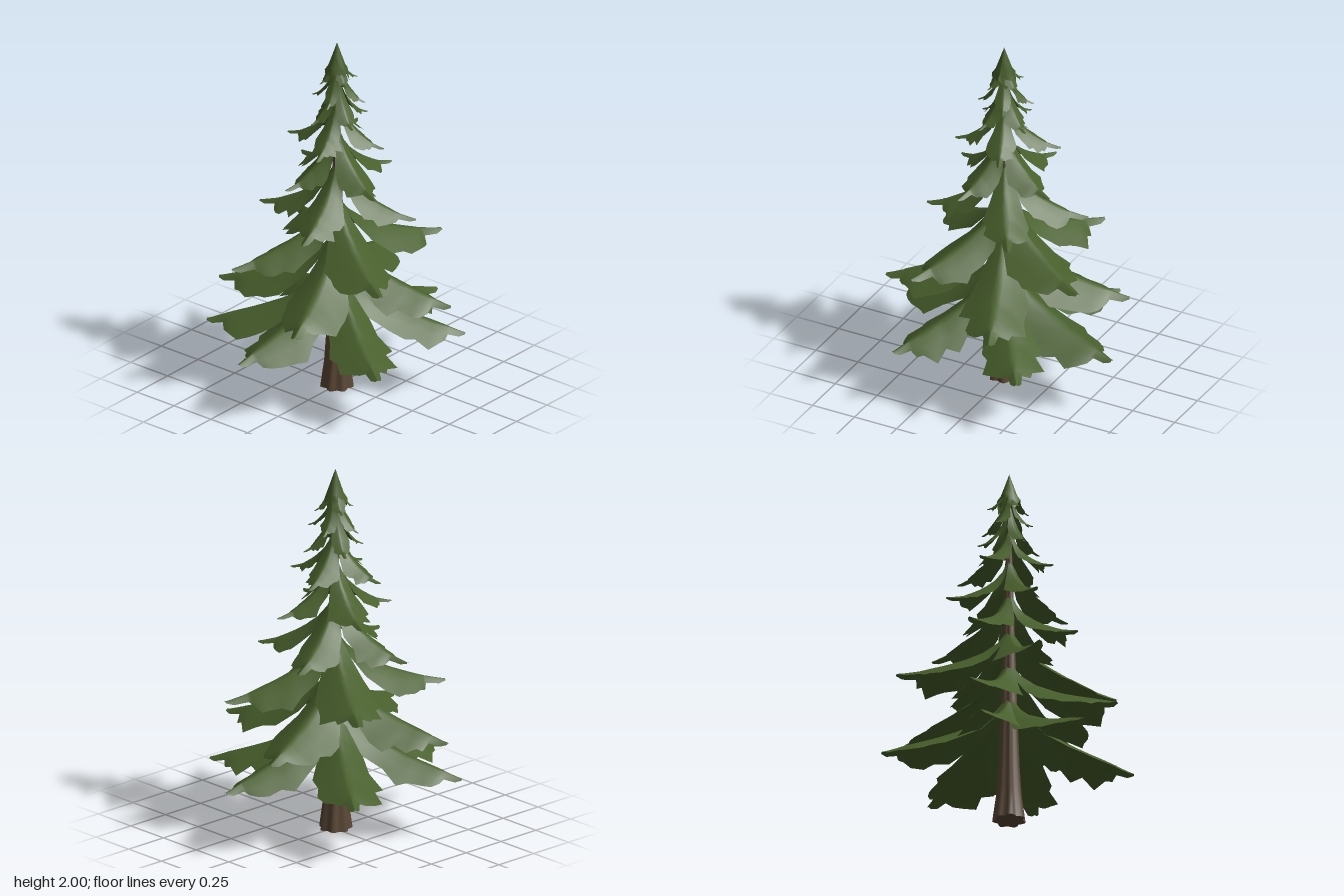
import * as THREE from 'three';

const CX = -0.015; // trunk axis

// Fan of a blade: [distance along the fan, height, half width, edge droop]
const FAN = [
  [0.00, 1.00, 0.03, 0.9], [0.11, 0.77, 0.10, 0.85], [0.28, 0.56, 0.18, 0.85],
  [0.49, 0.39, 0.24, 0.75], [0.64, 0.29, 0.27, 0.68], [0.73, 0.24, 0.23, 0.7],
  [0.86, 0.17, 0.23, 0.68], [0.94, 0.13, 0.17, 0.7], [1.00, 0.10, 0.12, 0.8],
];
// Finger at the tip: [distance along the finger, height, half width, edge droop]
const FINGER = [[0.12, 0.085, 0.06, 0.9], [0.7, 0.025, 0.045, 0.9], [1, 0, 0.02, 0.6]];

// Tiers: tip height, root height, width factor, finger start, tips as [x, z]
const TIERS = [
  [0.34, 0.71, 0.95, 0.85, [[0.68, 0.10], [0.36, 0.56], [-0.37, 0.57], [-0.69, -0.11], [-0.37, -0.59], [0.37, -0.56]]],
  [0.56, 0.90, 1.05, 0.83, [[0.63, -0.19], [0.21, 0.59], [-0.61, 0.20], [-0.28, -0.58]]],
  [0.78, 1.09, 1.08, 0.78, [[0.55, 0.24], [-0.29, 0.52], [-0.53, -0.29], [0.30, -0.52]]],
  [1.00, 1.30, 1.08, 0.75, [[0.40, -0.16], [0.20, 0.36], [-0.42, 0.10], [-0.14, -0.42]]],
  [1.22, 1.49, 1.08, 0.72, [[0.31, 0.10], [-0.11, 0.34], [-0.32, -0.10], [0.11, -0.34]]],
  [1.42, 1.66, 1.08, 0.72, [[0.27, -0.10], [0.08, 0.24], [-0.27, 0.07], [-0.08, -0.28]]],
  [1.56, 1.80, 1.1, 0.72, [[0.15, 0.07], [-0.08, 0.16], [-0.17, -0.05], [0.06, -0.16]]],
  [1.67, 1.88, 1.1, 0.72, [[0.13, -0.06], [0.05, 0.14], [-0.15, 0.04], [-0.05, -0.14]]],
  [1.78, 1.95, 1.1, 0.72, [[0.09, 0.05], [-0.06, 0.10], [-0.11, -0.04], [0.04, -0.11]]],
];

// Small seeded random generator
function seeded(seed) {
  let s = seed;
  return () => (s = (s * 16807) % 2147483647) / 2147483647;
}

// A drooping blade with a raised ridge, ragged edges and a finger-like tip
function bladeGeometry(length, height, widthFactor, fingerStart, rand) {
  const across = [-1, -0.55, -0.16, 0, 0.16, 0.55, 1];
  const n = across.length;
  const stations = [
    ...FAN.map(([u, ...rest]) => [u * fingerStart, ...rest]),
    ...FINGER.map(([u, ...rest]) => [fingerStart + u * (1 - fingerStart), ...rest]),
  ];
  const pos = [], index = [];
  stations.forEach(([t, h, w, d], i) => {
    const ragged = i > 2 && i < FAN.length ? 0.35 : 0;
    const sides = [0, 1].map(() => 1 + (rand() - 0.5) * ragged);
    across.forEach((a) => {
      const half = w * length * widthFactor * sides[a < 0 ? 0 : 1];
      const drop = d * half * (Math.sqrt(a * a + 0.02) - 0.14);
      pos.push(0.012 + t * (length - 0.012), h * height - drop, a * half);
    });
    if (i === 0) return;
    for (let k = 0; k < n - 1; k++) {
      const p = (i - 1) * n + k, q = i * n + k;
      index.push(p, p + 1, q, p + 1, q + 1, q);
    }
  });
  const g = new THREE.BufferGeometry();
  g.setAttribute('position', new THREE.Float32BufferAttribute(pos, 3));
  g.setIndex(index);
  g.computeVertexNormals();
  return g;
}

// Ribbed, flared trunk tapering towards the crown
function trunkGeometry() {
  const g = new THREE.CylinderGeometry(1, 1, 1.88, 28, 12);
  g.translate(0, 0.94, 0);
  const p = g.attributes.position;
  for (let i = 0; i < p.count; i++) {
    const y = p.getY(i);
    const angle = Math.atan2(p.getZ(i), p.getX(i));
    const r = 0.054 * (1 - y / 1.9) + 0.004 + 0.022 * Math.exp(-y * 7);
    const rib = 1 + 0.13 * Math.sin(angle * 7);
    p.setX(i, p.getX(i) * r * rib);
    p.setZ(i, p.getZ(i) * r * rib);
  }
  g.computeVertexNormals();
  return g;
}

export function createModel() {
  const needles = new THREE.MeshStandardMaterial({ color: 0x485f2c, side: THREE.DoubleSide });
  needles.name = 'needle green';
  const bark = new THREE.MeshStandardMaterial({ color: 0x5b4836 });
  bark.name = 'bark brown';

  const tree = new THREE.Group();
  tree.name = 'firTree';
  const rand = seeded(4217);

  const trunk = new THREE.Mesh(trunkGeometry(), bark);
  trunk.name = 'trunk';
  trunk.position.x = CX;
  tree.add(trunk);

  // Whorls of branches
  TIERS.forEach(([tipY, rootY, width, fingerStart, tips], i) => {
    const tier = new THREE.Group();
    tier.name = `branchTier${i + 1}`;
    tier.position.set(CX, tipY, 0);
    for (const [x, z] of tips) {
      const dx = x - CX;
      const geo = bladeGeometry(Math.hypot(dx, z), rootY - tipY, width, fingerStart, rand);
      const branch = new THREE.Mesh(geo, needles);
      branch.name = 'branch';
      branch.rotation.y = -Math.atan2(z, dx);
      tier.add(branch);
    }
    tree.add(tier);
  });

  // Pointed crown with a ragged hem
  const profile = [[0.065, 1.81], [0.045, 1.87], [0.024, 1.93], [0, 2]];
  const crownGeo = new THREE.LatheGeometry(profile.map(([r, y]) => new THREE.Vector2(r, y)), 10);
  const p = crownGeo.attributes.position;
  for (let i = 0; i < p.count; i++) {
    const angle = Math.atan2(p.getZ(i), p.getX(i));
    if (p.getY(i) < 1.82) p.setY(i, p.getY(i) + 0.03 * Math.sin(angle * 5));
  }
  crownGeo.computeVertexNormals();
  const crown = new THREE.Mesh(crownGeo, needles);
  crown.name = 'crown';
  crown.position.x = CX;
  tree.add(crown);

  return tree;
}
